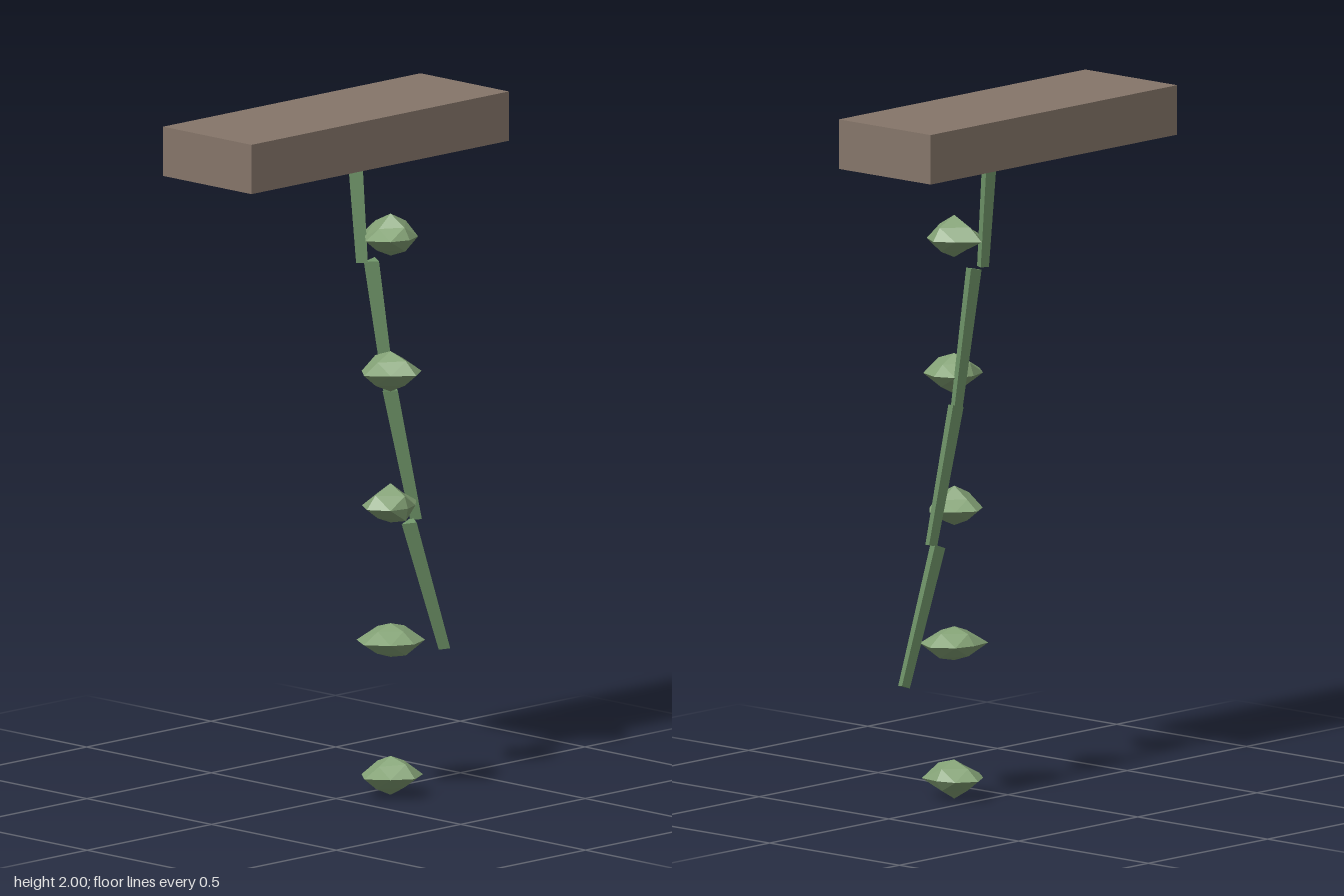
import * as THREE from 'three';

const wood = new THREE.MeshStandardMaterial({ color: 0x86766a, side: THREE.DoubleSide, flatShading: true });
const stemGreen = new THREE.MeshStandardMaterial({ color: 0x6f9468, flatShading: true });
const leafGreen = new THREE.MeshStandardMaterial({ color: 0x84a276, flatShading: true });

function add(parent, name, geometry, material, x, y, z) {
  const mesh = new THREE.Mesh(geometry, material);
  mesh.name = name;
  mesh.position.set(x, y, z);
  parent.add(mesh);
  return mesh;
}

// Small repeatable variation between 0 and 1
function vary(n) {
  const s = Math.sin(n * 12.9898) * 43758.5453;
  return s - Math.floor(s);
}

// Box without its underside
function openBox(w, h, d) {
  const box = new THREE.BoxGeometry(w, h, d);
  const index = Array.from(box.index.array);
  index.splice(18, 6);
  box.clearGroups();
  box.setIndex(index);
  return box;
}

// Flattened, spiky leaf cluster: a split octahedron whose points are pulled in or out
function leafCluster({ px, nx, pz, nz, up, down }, seed) {
  const geo = new THREE.OctahedronGeometry(1, 1);
  const pos = geo.attributes.position;
  const v = new THREE.Vector3();
  for (let i = 0; i < pos.count; i++) {
    v.fromBufferAttribute(pos, i);
    const sx = Math.round(v.x * 2), sy = Math.round(v.y * 2), sz = Math.round(v.z * 2);
    const r = vary(seed * 31 + sx * 7 + sy * 3 + sz * 1.7);
    if (sx === 0 && sz === 0) {
      v.set(0, sy > 0 ? up : -down, 0);            // top and bottom tips
    } else if (sy !== 0) {
      v.multiplyScalar(0.066 + 0.022 * r);         // shoulders
      v.y *= 0.6;
    } else if (sx !== 0 && sz !== 0) {
      v.multiplyScalar(0.07 + 0.03 * r);           // diagonal rim points
    } else {
      v.set(sx > 0 ? px : sx < 0 ? -nx : 0, 0, sz > 0 ? pz : sz < 0 ? -nz : 0);
    }
    pos.setXYZ(i, v.x, v.y, v.z);
  }
  geo.computeVertexNormals();
  return geo;
}

export function createModel() {
  const model = new THREE.Group();
  model.name = 'hangingVine';

  // Ledge the vine hangs from
  add(model, 'ledge', openBox(1.034, 0.143, 0.354), wood, 0, 1.9285, 0);

  // Three-sided stem pieces, leaning further out towards the bottom
  const stem = new THREE.Group();
  stem.name = 'stem';
  model.add(stem);
  [
    [0.074, 1.93, 0.108, 1.54],
    [0.147, 1.54, 0.218, 1.15],
    [0.222, 1.155, 0.325, 0.765],
    [0.298, 0.76, 0.439, 0.373],
  ].forEach(([x0, y0, x1, y1], i) => {
    const length = Math.hypot(x1 - x0, y1 - y0);
    const piece = add(stem, `stemPiece${i + 1}`, new THREE.CylinderGeometry(0.026, 0.02, length, 3),
      stemGreen, (x0 + x1) / 2, (y0 + y1) / 2, 0);
    piece.rotation.z = Math.atan2(x1 - x0, y0 - y1);
  });

  // Row of leaf clusters, evenly spaced downwards
  const leaves = new THREE.Group();
  leaves.name = 'leaves';
  model.add(leaves);
  [
    { px: 0.088, nx: 0.1, pz: 0.077, nz: 0.106, up: 0.066, down: 0.056 },
    { px: 0.085, nx: 0.106, pz: 0.103, nz: 0.075, up: 0.057, down: 0.06 },
    { px: 0.103, nx: 0.095, pz: 0.069, nz: 0.088, up: 0.064, down: 0.05 },
    { px: 0.103, nx: 0.108, pz: 0.095, nz: 0.078, up: 0.048, down: 0.05 },
    { px: 0.074, nx: 0.105, pz: 0.098, nz: 0.092, up: 0.053, down: 0.06 },
  ].forEach((shape, i) => {
    add(leaves, `leafCluster${i + 1}`, leafCluster(shape, i + 1), leafGreen, 0.146, 1.62 - 0.39 * i, 0.073);
  });

  return model;
}
